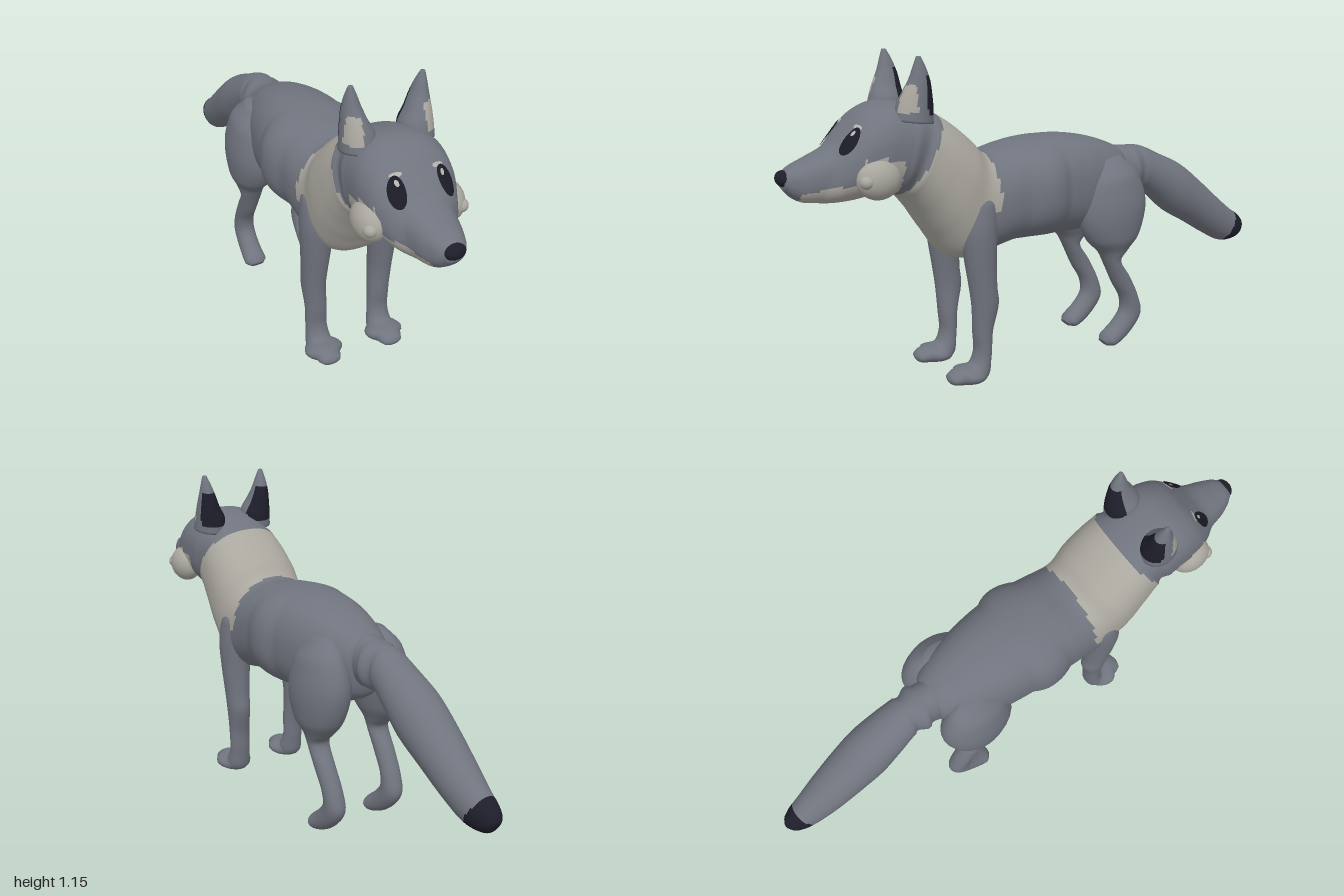
import * as THREE from 'three';

const mat = (name, color, side = THREE.FrontSide) => {
  const m = new THREE.MeshStandardMaterial({ color, side });
  m.name = name;
  return m;
};

// Smooth loft. Stations: [z, y of upper/front edge, z, y of lower/back edge, half width, x centre].
// paint(x, y, z) picks the material index of each quad; boxy < 1 squares the rings.
function loft(name, stations, materials, { paint = () => 0, seg = 28, steps = 6, boxy = 1 } = {}) {
  const curve = f => new THREE.CatmullRomCurve3(stations.map(f));
  const upper = curve(s => new THREE.Vector3(0, s[1], s[0]));
  const lower = curve(s => new THREE.Vector3(0, s[3], s[2]));
  const width = curve(s => new THREE.Vector3(s[4], s[5] || 0, 0));
  const rows = (stations.length - 1) * steps;
  const pos = [], faces = materials.map(() => []);
  const pw = v => Math.sign(v) * Math.abs(v) ** boxy;
  const centres = [];
  for (let i = 0; i <= rows; i++) {
    const t = i / rows, a = upper.getPoint(t), b = lower.getPoint(t), w = width.getPoint(t);
    const c = a.clone().add(b).multiplyScalar(0.5), h = a.sub(b).multiplyScalar(0.5);
    c.x = w.y;
    centres.push(c);
    for (let j = 0; j < seg; j++) {
      const ang = (j / seg) * Math.PI * 2, k = pw(Math.cos(ang));
      pos.push(c.x + w.x * pw(Math.sin(ang)), c.y + h.y * k, c.z + h.z * k);
    }
  }
  const first = pos.length / 3, last = first + 1;
  pos.push(...centres[0].toArray(), ...centres[rows].toArray());
  const add = (...v) => {
    const mean = k => v.reduce((s, i) => s + pos[i * 3 + k], 0) / v.length;
    const list = faces[paint(mean(0), mean(1), mean(2))];
    list.push(v[0], v[1], v[2]);
    if (v.length === 4) list.push(v[0], v[2], v[3]);
  };
  for (let j = 0; j < seg; j++) {
    const n = (j + 1) % seg, e = rows * seg;
    for (let i = 0; i < rows; i++) add(i * seg + j, (i + 1) * seg + j, (i + 1) * seg + n, i * seg + n);
    add(first, j, n);
    add(last, e + n, e + j);
  }
  const geo = new THREE.BufferGeometry();
  geo.setAttribute('position', new THREE.Float32BufferAttribute(pos, 3));
  geo.setIndex(faces.flat());
  let start = 0;
  faces.forEach((f, i) => { if (f.length) geo.addGroup(start, f.length, i); start += f.length; });
  geo.computeVertexNormals();
  const mesh = new THREE.Mesh(geo, materials);
  mesh.name = name;
  return mesh;
}

function ball(name, material, x, y, z, rx, ry, rz) {
  const m = new THREE.Mesh(new THREE.SphereGeometry(1, 28, 20), material);
  m.name = name;
  m.position.set(x, y, z);
  m.scale.set(rx, ry, rz);
  return m;
}

// Thin oval laid on the front of a surface
function oval(name, material, surface, x, y, rx, ry, tilt, lift) {
  const geo = new THREE.RingGeometry(0.001, 1, 28, 5);
  geo.scale(rx, ry, 1).rotateZ(tilt).translate(x, y, 0);
  const p = geo.attributes.position, ray = new THREE.Raycaster(), dir = new THREE.Vector3(0, 0, -1);
  for (let i = 0; i < p.count; i++) {
    ray.set(new THREE.Vector3(p.getX(i), p.getY(i), 2), dir);
    const hit = ray.intersectObject(surface)[0];
    p.setZ(i, (hit ? hit.point.z : 0.75) + lift);
  }
  geo.computeVertexNormals();
  const m = new THREE.Mesh(geo, material);
  m.name = name;
  return m;
}

export function createModel() {
  const fox = new THREE.Group();
  fox.name = 'fox';
  const grey = mat('grey fur', 0x70747e), pale = mat('pale fur', 0xaaa79f);
  const dark = mat('dark fur', 0x1e1e2b), eyeDark = mat('eye', 0x1b1b26, THREE.DoubleSide);
  const glint = mat('eye glint', 0xb4b2ac, THREE.DoubleSide);

  // Torso, neck and head in one skin, from rump to muzzle
  const body = loft('body and head', [
    [-0.345, 0.66, -0.34, 0.58, 0.03], [-0.33, 0.73, -0.32, 0.52, 0.09],
    [-0.25, 0.775, -0.24, 0.475, 0.13], [-0.12, 0.81, -0.12, 0.455, 0.165],
    [0, 0.82, 0, 0.46, 0.18], [0.15, 0.81, 0.17, 0.465, 0.18],
    [0.27, 0.795, 0.40, 0.435, 0.172], [0.33, 0.85, 0.48, 0.53, 0.178],
    [0.40, 0.91, 0.54, 0.62, 0.172], [0.47, 0.955, 0.595, 0.68, 0.163],
    [0.56, 0.99, 0.64, 0.695, 0.163], [0.64, 1.0, 0.70, 0.70, 0.162],
    [0.71, 0.975, 0.77, 0.692, 0.15], [0.77, 0.92, 0.83, 0.69, 0.122],
    [0.82, 0.875, 0.88, 0.695, 0.09], [0.89, 0.845, 0.93, 0.705, 0.074],
    [0.95, 0.822, 0.96, 0.725, 0.055], [0.985, 0.80, 0.98, 0.75, 0.033],
  ], [grey, pale], {
    seg: 64, steps: 9, boxy: 0.85,
    paint: (x, y, z) => {
      const ruff = z < 0.45 + (0.95 - y) * 0.62 && z > (y > 0.62 ? 0.275 : 0.38);
      const jaw = z > 0.66 && z < 0.94 && y < 0.745 + (0.9 - z) * 0.15;
      const cheek = z > 0.63 && z < 0.76 && y < 0.838 && Math.abs(x) > 0.075;
      return ruff || jaw || cheek ? 1 : 0;
    },
  });
  fox.add(body);

  // Tail, tip to base
  fox.add(loft('tail', [
    [-0.997, 0.335, -0.99, 0.315, 0.012], [-0.987, 0.36, -0.965, 0.285, 0.034],
    [-0.96, 0.385, -0.92, 0.276, 0.05], [-0.92, 0.412, -0.87, 0.282, 0.06],
    [-0.84, 0.475, -0.78, 0.33, 0.075], [-0.75, 0.55, -0.69, 0.385, 0.085],
    [-0.64, 0.635, -0.58, 0.45, 0.092], [-0.54, 0.685, -0.50, 0.52, 0.085],
    [-0.44, 0.73, -0.44, 0.563, 0.075], [-0.36, 0.738, -0.38, 0.565, 0.075],
    [-0.26, 0.75, -0.30, 0.55, 0.06],
  ], [grey, dark], { seg: 40, steps: 8, paint: (x, y, z) => (z < -0.875 - (y - 0.28) * 0.59 ? 1 : 0) }));

  // Nose
  fox.add(ball('nose', dark, 0, 0.785, 0.977, 0.036, 0.026, 0.023));

  for (const s of [1, -1]) {
    const side = s > 0 ? 'left ' : 'right ';
    const sided = rows => rows.map(r => [...r.slice(0, 5), r[5] * s]);

    // Front leg, shoulder to paw
    fox.add(loft(side + 'front leg', sided([
      [0.37, 0.68, 0.30, 0.68, 0.03, 0.125], [0.395, 0.64, 0.28, 0.64, 0.052, 0.127],
      [0.41, 0.55, 0.28, 0.55, 0.06, 0.128], [0.40, 0.45, 0.285, 0.45, 0.054, 0.13],
      [0.385, 0.35, 0.283, 0.34, 0.046, 0.131], [0.376, 0.28, 0.277, 0.28, 0.043, 0.131],
      [0.37, 0.18, 0.30, 0.18, 0.04, 0.125], [0.366, 0.11, 0.308, 0.08, 0.04, 0.124],
      [0.385, 0.068, 0.325, 0.012, 0.047, 0.123], [0.435, 0.06, 0.425, 0.002, 0.047, 0.123],
      [0.465, 0.045, 0.462, 0.01, 0.033, 0.123], [0.473, 0.033, 0.472, 0.022, 0.012, 0.123],
    ]), [grey]));

    // Hind leg, haunch to paw
    fox.add(loft(side + 'hind leg', sided([
      [-0.16, 0.72, -0.27, 0.73, 0.03, 0.105], [-0.10, 0.64, -0.33, 0.67, 0.073, 0.12],
      [-0.08, 0.52, -0.365, 0.56, 0.09, 0.125], [-0.115, 0.43, -0.335, 0.44, 0.076, 0.13],
      [-0.165, 0.38, -0.29, 0.385, 0.053, 0.13], [-0.19, 0.335, -0.255, 0.345, 0.041, 0.13],
      [-0.23, 0.25, -0.30, 0.27, 0.037, 0.13], [-0.268, 0.185, -0.345, 0.18, 0.037, 0.128],
      [-0.272, 0.135, -0.36, 0.11, 0.038, 0.126], [-0.24, 0.09, -0.30, 0.035, 0.04, 0.125],
      [-0.197, 0.052, -0.235, 0.002, 0.043, 0.124], [-0.184, 0.03, -0.204, 0.006, 0.025, 0.124],
    ]), [grey]));

    // Ear, tip to base, with pale inside and dark back
    fox.add(loft(side + 'ear', sided([
      [0.562, 1.15, 0.548, 1.15, 0.008, 0.124], [0.572, 1.12, 0.53, 1.115, 0.019, 0.121],
      [0.585, 1.08, 0.514, 1.07, 0.031, 0.117], [0.605, 1.04, 0.506, 1.025, 0.042, 0.111],
      [0.622, 1.0, 0.50, 0.985, 0.055, 0.102], [0.635, 0.95, 0.50, 0.93, 0.06, 0.1],
    ]), [grey, pale, dark], {
      seg: 40, steps: 8,
      paint: (x, y, z) => {
        if (z < 0.538 && y > 0.96 && y < 1.09) return 2;
        return z > 0.575 && Math.abs(x) > 0.108 && y > 0.975 && y < 1.062 ? 1 : 0;
      },
    }));

    // Cheek with its small round tuft
    fox.add(ball(side + 'cheek', pale, s * 0.134, 0.775, 0.712, 0.056, 0.068, 0.075));
    fox.add(ball(side + 'cheek tuft', pale, s * 0.158, 0.775, 0.763, 0.024, 0.023, 0.024));

    // Eye, glint and brow marks
    fox.add(oval(side + 'eye', eyeDark, body, s * 0.084, 0.895, 0.025, 0.041, s * 0.3, 0.006));
    fox.add(oval(side + 'eye glint', glint, body, s * 0.078, 0.918, 0.007, 0.008, 0, 0.009));
    fox.add(oval(side + 'brow mark', glint, body, s * 0.072, 0.935, 0.02, 0.006, -s * 0.15, 0.004));
  }
  return fox;
}
